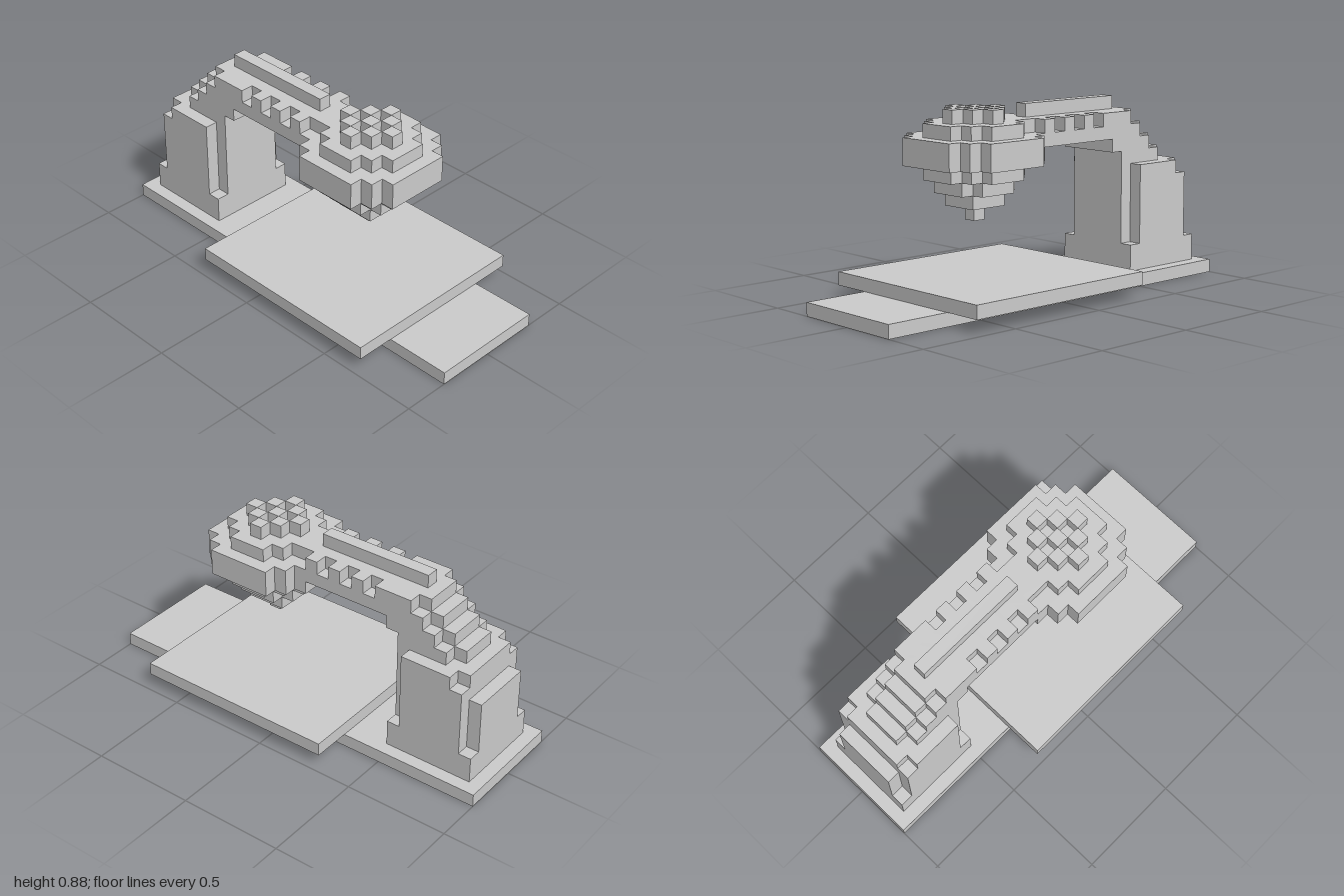
import * as THREE from 'three';

const U = 1 / 16; // one block
const material = new THREE.MeshStandardMaterial({ color: 0xcccccc, flatShading: true });

function addMesh(parent, name, geometry) {
  geometry.scale(U, U, U);
  const mesh = new THREE.Mesh(geometry, material);
  mesh.name = name;
  parent.add(mesh);
}

// Box from x, y ranges and half depth, in blocks
function addBox(parent, name, x0, x1, y0, y1, halfZ, z = 0) {
  const g = new THREE.BoxGeometry(x1 - x0, y1 - y0, halfZ * 2);
  addMesh(parent, name, g.translate((x0 + x1) / 2, (y0 + y1) / 2, z));
}

function extrude(points, depth) {
  const shape = new THREE.Shape(points.map(([x, y]) => new THREE.Vector2(x, y)));
  return new THREE.ExtrudeGeometry(shape, { depth, bevelEnabled: false });
}

// Side profile extruded symmetrically about z = 0
function addProfile(parent, name, points, halfZ) {
  addMesh(parent, name, extrude(points, halfZ * 2).translate(0, 0, -halfZ));
}

// Horizontal stepped disc; steps are [half x, half z] from the narrowest x outwards
function addDisc(parent, name, steps, cx, y0, y1) {
  const quarter = [];
  for (let i = steps.length - 1; i >= 0; i--) {
    const [hx, hz] = steps[i];
    if (i < steps.length - 1) quarter.push([hx, steps[i + 1][1]]);
    quarter.push([hx, hz]);
  }
  const half = [...quarter, ...quarter.map(([x, z]) => [-x, z]).reverse()];
  const outline = [...half, ...half.map(([x, z]) => [-x, -z])];
  const g = extrude(outline, y1 - y0).rotateX(-Math.PI / 2).translate(cx, y0, 0);
  addMesh(parent, name, g);
}

export function createModel() {
  const model = new THREE.Group();
  model.name = 'deskMachine';

  // Base plank and wide work plate
  addBox(model, 'base', -16, 16, 0, 1, 4.5);
  addBox(model, 'workPlate', -5, 11, 1, 2, 7.5);

  // Post with notched corners
  addProfile(model, 'post', [
    [-15, 1], [-8, 1], [-8, 3], [-9, 3], [-9, 9], [-13, 9],
    [-13, 8], [-14, 8], [-14, 3], [-15, 3],
  ], 3.5);

  // Post core and arm, with three notches along the upper edge
  const notches = [-1, -3, -5].flatMap((x) => [[x, 13], [x, 12], [x - 1, 12], [x - 1, 13]]);
  addProfile(model, 'arm', [
    [-15, 1], [-8, 1], [-8, 10], [-7, 10], [-7, 11], [0, 11], [0, 13],
    ...notches,
    [-9, 13], [-9, 12], [-10, 12], [-10, 11], [-11, 11], [-11, 10],
    [-12, 10], [-12, 9], [-14, 9], [-14, 7], [-15, 7],
  ], 2.5);

  // Raised middle of the arm, stepping up the shoulder
  addProfile(model, 'armSpine', [
    [-13, 8.5], [-9, 8.5], [-9, 11.5], [2, 11.5], [2, 13], [-10, 13],
    [-10, 12], [-11, 12], [-11, 11], [-12, 11], [-12, 10], [-13, 10],
  ], 1.5);
  addBox(model, 'armRidge', -9, 0, 13, 14, 0.5);

  // Head: stacked stepped discs narrowing to a tip
  const head = new THREE.Group();
  head.name = 'head';
  model.add(head);
  const cx = 4.5;
  const large = [[2.5, 4.5], [3.5, 3.5], [4.5, 2.5]];
  const medium = [[1.5, 3.5], [2.5, 2.5], [3.5, 1.5]];
  const small = [[1.5, 2.5], [2.5, 1.5]];
  addDisc(head, 'headTop', medium, cx, 12, 13);
  addDisc(head, 'headBody', large, cx, 10, 12);
  addDisc(head, 'headTaper', medium, cx, 9, 10);
  addDisc(head, 'headLower', small, cx, 8, 9);
  addBox(head, 'nozzle', 3, 6, 7, 8, 1.5);
  addBox(head, 'tip', 4, 5, 6, 7, 0.5);

  // Checkered studs on top of the head
  for (let i = -2; i <= 2; i++) {
    for (let k = -2; k <= 2; k++) {
      if (Math.abs(i) + Math.abs(k) > 2 || (i + k) % 2 !== 0) continue;
      addBox(head, 'stud', cx + i - 0.5, cx + i + 0.5, 13, 14, 0.5, k);
    }
  }
  return model;
}
